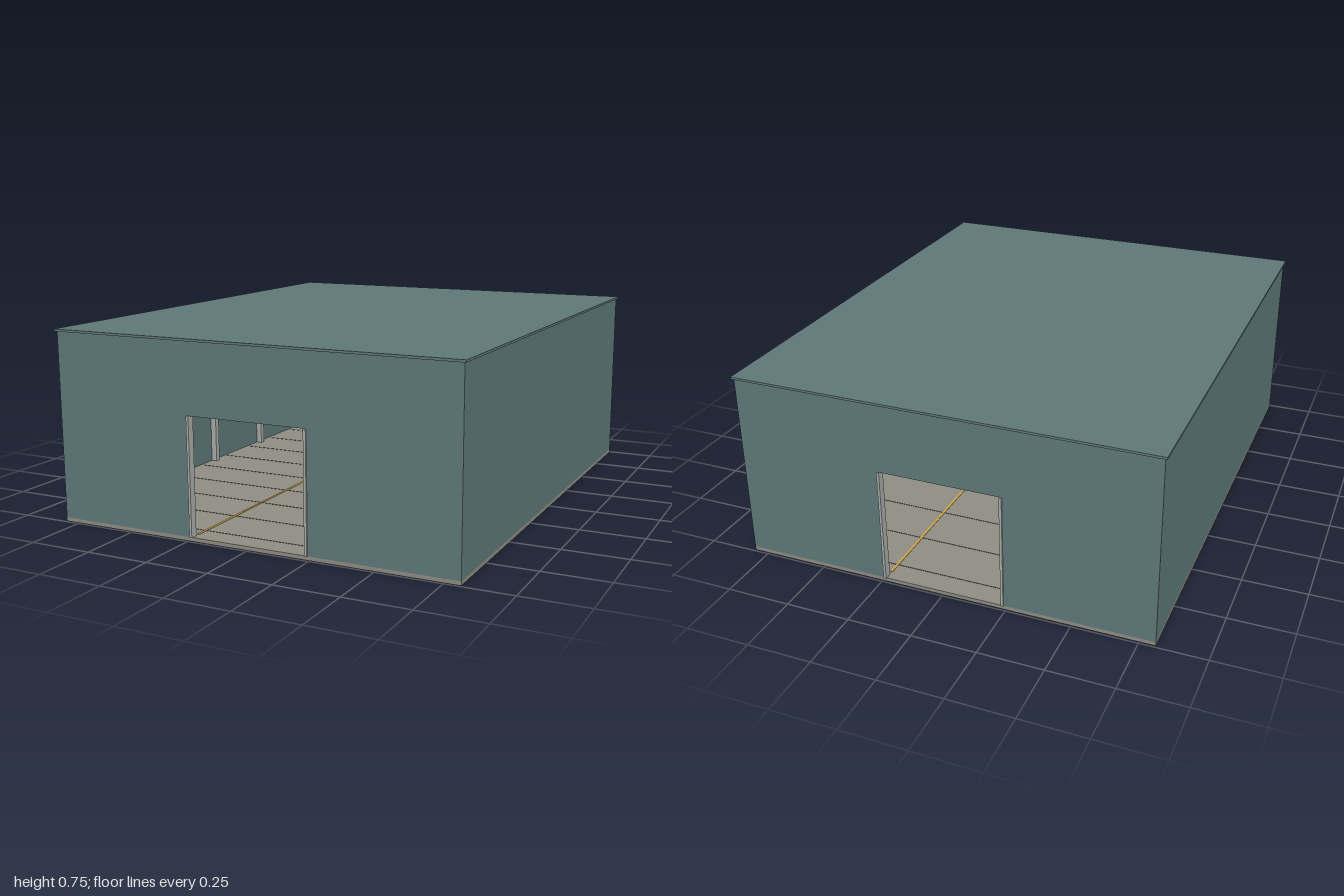
import * as THREE from 'three';

const material = (color) => new THREE.MeshStandardMaterial({ color });

export function createModel() {
  const model = new THREE.Group();
  const wallMat = material(0x5f7878);
  const slabMat = material(0x8f8d83);
  const steelMat = material(0xa9aca8);
  const jointMat = material(0x4a4f50);
  const yellowMat = material(0xc9a545);
  const lampMat = material(0xd9b48a);

  // Box given by its centre in x and z, and its bottom and top heights
  function box(parent, name, mat, w, y0, y1, d, x = 0, z = 0) {
    const mesh = new THREE.Mesh(new THREE.BoxGeometry(w, y1 - y0, d), mat);
    mesh.position.set(x, (y0 + y1) / 2, z);
    mesh.name = name;
    parent.add(mesh);
    return mesh;
  }
  function group(name) {
    const g = new THREE.Group();
    g.name = name;
    model.add(g);
    return g;
  }

  const floorY = 0.015, roofY = 0.737, doorY = 0.467, doorX = 0.235;
  const halfX = 0.81, halfZ = 0.992, thick = 0.02;

  // Slab and flat roof with a small overhang
  box(model, 'floorSlab', slabMat, halfX * 2, 0, floorY, halfZ * 2);
  box(model, 'roof', wallMat, 1.636, roofY, 0.746, 2);

  // Long side walls
  for (const s of [-1, 1]) {
    box(model, s > 0 ? 'leftWall' : 'rightWall', wallMat,
      thick, floorY, roofY, halfZ * 2, s * (halfX - thick / 2));
  }

  // End walls, each one plate with a doorway cut from its bottom edge
  const outline = new THREE.Shape([
    [-halfX + thick, floorY], [-doorX, floorY], [-doorX, doorY], [doorX, doorY],
    [doorX, floorY], [halfX - thick, floorY], [halfX - thick, roofY], [-halfX + thick, roofY],
  ].map(([x, y]) => new THREE.Vector2(x, y)));
  const endWall = new THREE.ExtrudeGeometry(outline, { depth: thick, bevelEnabled: false });
  for (const s of [-1, 1]) {
    const side = s > 0 ? 'front' : 'back';
    const wall = new THREE.Mesh(endWall, wallMat);
    wall.position.z = s > 0 ? halfZ - thick : -halfZ;
    wall.name = side + 'Wall';
    model.add(wall);

    // Door posts stand slightly proud of the wall
    const frame = group(side + 'DoorFrame');
    for (const e of [-1, 1]) {
      box(frame, 'doorPost', steelMat, 0.01, floorY, doorY, 0.03, e * 0.237, s * 0.983);
    }
  }

  // Floor joints and yellow lane markings
  const markings = group('floorMarkings');
  for (let i = 0; i < 10; i++) {
    const z = -0.9 + i * 0.2;
    box(markings, 'floorJoint', jointMat, 1.56, floorY, floorY + 0.001, 0.004, 0, z);
  }
  for (const s of [-1, 1]) {
    box(markings, 'laneLine', yellowMat, 0.01, floorY, floorY + 0.002, 1.9, s * 0.235);
  }

  // Steel portal frames inside: a roof beam on a pair of columns
  const frames = group('portalFrames');
  for (let i = 0; i < 5; i++) {
    const z = -0.8 + i * 0.4;
    box(frames, 'roofBeam', steelMat, 1.58, 0.7, roofY, 0.02, 0, z);
    for (const s of [-1, 1]) {
      box(frames, 'column', steelMat, 0.025, floorY, 0.7, 0.025, s * 0.777, z);
    }
  }

  // Strip lamps hung between the frames
  const lamps = group('ceilingLamps');
  for (const x of [-0.42, 0, 0.42]) {
    for (const z of [-0.5, 0.1, 0.5]) {
      box(lamps, 'lamp', lampMat, 0.22, 0.71, 0.722, 0.025, x, z);
      box(lamps, 'lampHanger', steelMat, 0.01, 0.722, roofY, 0.01, x, z);
    }
  }

  return model;
}
